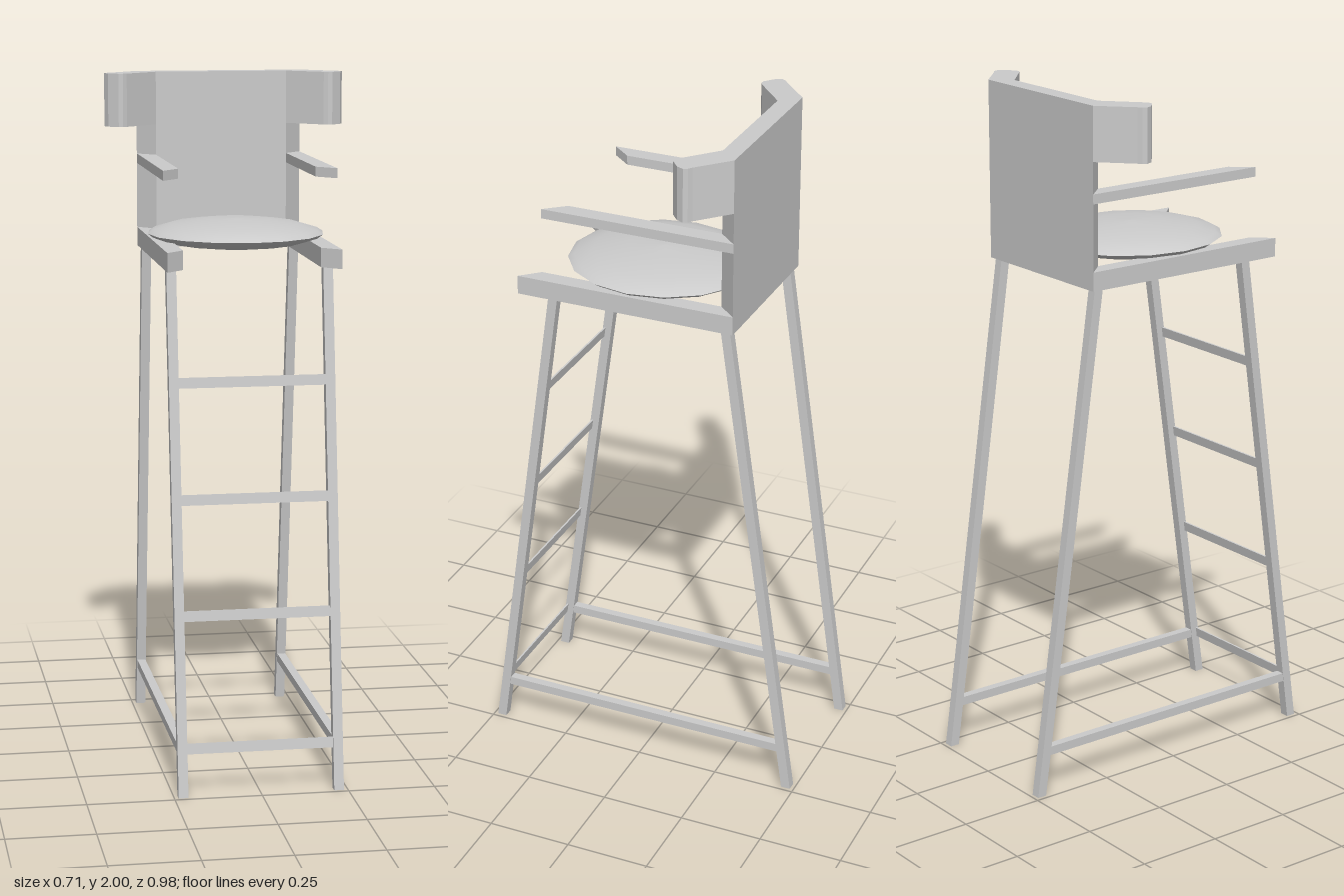
import * as THREE from 'three';

const material = new THREE.MeshStandardMaterial({ color: 0xcccccc, side: THREE.DoubleSide });

export function createModel() {
  const model = new THREE.Group();
  model.name = 'highChair';

  const add = (name, geometry) => {
    const mesh = new THREE.Mesh(geometry, material);
    mesh.name = name;
    model.add(mesh);
    return mesh;
  };

  // Slab with an [x, z] outline between two heights
  const slab = (name, points, y0, y1) => {
    const shape = new THREE.Shape(points.map(([x, z]) => new THREE.Vector2(x, z)));
    const geometry = new THREE.ExtrudeGeometry(shape, { depth: y1 - y0, bevelEnabled: false });
    geometry.rotateX(Math.PI / 2).translate(0, y1, 0);
    return add(name, geometry);
  };

  // Mirror half an outline so that it closes across x = 0
  const mirrored = half => [...half, ...half.map(([x, z]) => [-x, z]).reverse()];

  const inner = 0.196, outer = 0.247, back = -0.29, backFront = -0.235;
  const seatBottom = 1.48, seatTop = 1.535;
  const slope = 0.21 / seatBottom;
  const legX = 0.224;
  const legZ = y => 0.475 - slope * y;

  // Back panel with mitred sides, and the head rest with forward wings
  slab('backPanel', mirrored([[outer, back], [inner, backFront]]), seatBottom, 1.845);
  slab('headRest', mirrored([
    [outer, back], [0.337, -0.207], [0.349, -0.199], [0.355, -0.187], [0.346, -0.166],
    [0.318, -0.143], [0.305, -0.142], [0.293, -0.149], [inner, backFront],
  ]), 1.845, 2);

  for (const side of [1, -1]) {
    const label = side > 0 ? 'left' : 'right';

    // Seat rail and armrest, mitred at both ends
    const bar = (front, cut) => [
      [side * outer, back], [side * outer, front],
      [side * inner, front - cut], [side * inner, backFront],
    ];
    slab(label + 'SeatRail', bar(0.37, 0.053), seatBottom, seatTop);
    slab(label + 'Armrest', bar(0.29, 0.06), 1.727, 1.755);

    // Splayed legs, sheared so that feet and tops stay level
    for (const end of [1, -1]) {
      const geometry = new THREE.BoxGeometry(0.028, seatBottom, 0.028);
      geometry.translate(0, seatBottom / 2, 0);
      const p = geometry.attributes.position;
      for (let i = 0; i < p.count; i++) p.setZ(i, p.getZ(i) + end * legZ(p.getY(i)));
      geometry.computeVertexNormals();
      add(label + (end > 0 ? 'FrontLeg' : 'BackLeg'), geometry).position.x = side * legX;
    }

    // Low stretcher between front and back leg
    add(label + 'Stretcher', new THREE.BoxGeometry(0.025, 0.026, 0.9))
      .position.set(side * legX, 0.135, 0);
  }

  // Thin ladder rungs set into the slope of the front legs
  for (const y of [0.136, 0.508, 0.833, 1.16]) {
    const rung = add('rung', new THREE.BoxGeometry(0.43, 0.03, 0.005));
    rung.position.set(0, y, legZ(y) + 0.008);
    rung.rotation.x = -Math.atan(slope);
  }

  // Lens-shaped cushion: two smooth halves meeting in a sharp rim
  const halves = {
    cushionBottom: [[0, 1.507], [0.1, 1.511], [0.19, 1.523], [0.24, 1.538], [0.257, 1.55]],
    cushionTop: [[0.257, 1.55], [0.24, 1.561], [0.19, 1.576], [0.1, 1.588], [0, 1.592]],
  };
  for (const [name, profile] of Object.entries(halves)) {
    const geometry = new THREE.LatheGeometry(profile.map(([r, y]) => new THREE.Vector2(r, y)), 16);
    geometry.scale(1, 1, 1.077);
    add(name, geometry).position.z = 0.027;
  }

  return model;
}
